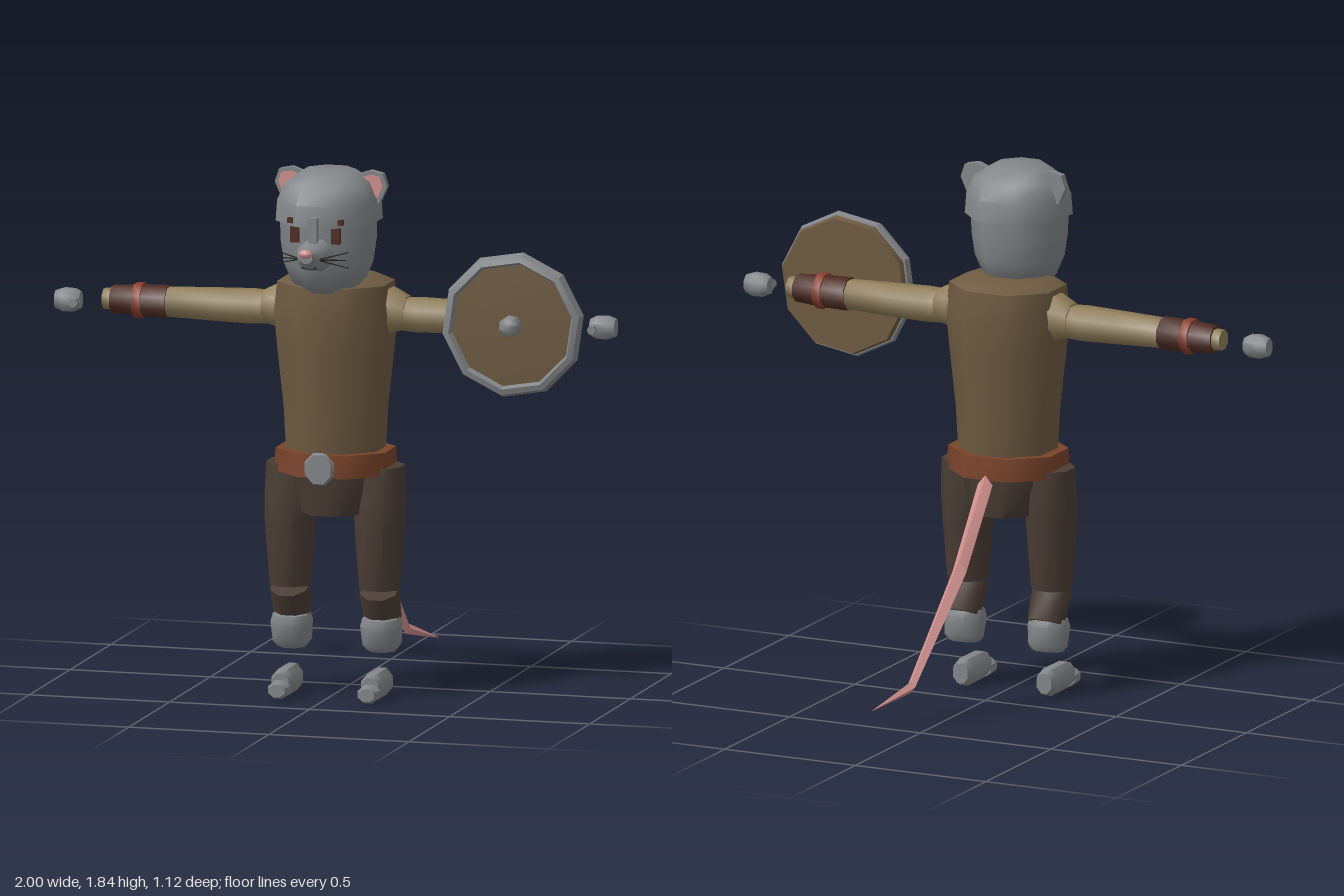
import * as THREE from 'three';
import { toCreasedNormals } from 'three/addons/utils/BufferGeometryUtils.js';

const paint = (name, color) => Object.assign(new THREE.MeshStandardMaterial({ color }), { name });

// Closed loft along y. Each ring is [y, radiusX, radiusZ, centreX, centreZ].
function loft(rings, n = 8, flat = true, crease = 0.85) {
  const pos = [], idx = [];
  const k = flat ? 1 / Math.cos(Math.PI / n) : 1;
  rings.forEach(([y, rx, rz = rx, cx = 0, cz = 0]) => {
    for (let j = 0; j < n; j++) {
      const a = ((j + (flat ? 0.5 : 0)) / n) * Math.PI * 2;
      pos.push(cx + rx * k * Math.sin(a), y, cz + rz * k * Math.cos(a));
    }
  });
  const m = rings.length;
  for (const [y, , , cx = 0, cz = 0] of [rings[0], rings[m - 1]]) pos.push(cx, y, cz);
  for (let j = 0; j < n; j++) {
    const q = (j + 1) % n, t = (m - 1) * n;
    for (let i = 0; i < m - 1; i++) {
      const a = i * n + j, b = i * n + q;
      idx.push(a, b, b + n, a, b + n, a + n);
    }
    idx.push(m * n, q, j, m * n + 1, t + j, t + q);
  }
  const g = new THREE.BufferGeometry();
  g.setAttribute('position', new THREE.Float32BufferAttribute(pos, 3));
  g.setIndex(idx);
  return toCreasedNormals(g, crease);
}

export function createModel() {
  const root = new THREE.Group();
  root.name = 'mouseWarrior';
  const grey = paint('greyFurAndSteel', 0x84878a);
  const tunic = paint('tunicBrown', 0x6e5b42);
  const tan = paint('sleeveTan', 0x8f7d59);
  const trousers = paint('trouserBrown', 0x4b3d35);
  const leather = paint('darkLeather', 0x4f2d24);
  const red = paint('redBand', 0x8a3c2a);
  const belt = paint('beltLeather', 0x7a432a);
  const pink = paint('pinkSkin', 0xd2928f);
  const dark = paint('whiskerBlack', 0x1c1818);

  const add = (name, geo, mat, x = 0, y = 0, z = 0, rx = 0) => {
    const mesh = new THREE.Mesh(geo, mat);
    mesh.name = name;
    mesh.position.set(x, y, z);
    mesh.rotation.x = rx;
    root.add(mesh);
    return mesh;
  };
  const forward = (rings, n, flat) => loft(rings, n, flat).rotateX(Math.PI / 2);
  const box = (w, h, d) => new THREE.BoxGeometry(w, h, d);

  // Body
  add('torso', loft([[0.84, 0.16, 0.148], [1.0, 0.168, 0.155], [1.2, 0.188, 0.172], [1.33, 0.2, 0.18],
    [1.44, 0.19, 0.172], [1.465, 0.13, 0.13]]), tunic, 0, 0, 0.175);
  add('belt', loft([[0.78, 0.198, 0.177], [0.86, 0.195, 0.172]]), belt, 0, 0, 0.177);
  add('buckle', forward([[0.365, 0.045, 0.05], [0.38, 0.052, 0.056], [0.395, 0.045, 0.05]]), grey, 0, 0.817, 0);
  add('pelvis', loft([[0.64, 0.115, 0.138], [0.79, 0.165, 0.152]]), trousers, 0, 0, 0.175);

  // Head with helmet
  add('head', loft([[1.42, 0.07, 0.08], [1.45, 0.115, 0.12], [1.52, 0.142, 0.147], [1.6, 0.153, 0.155],
    [1.69, 0.155, 0.16]]), grey, 0, 0, 0.265);
  add('helmet', loft([[1.667, 0.17, 0.18], [1.74, 0.165, 0.174], [1.8, 0.14, 0.148], [1.84, 0.085, 0.09]]),
    grey, 0, 0, 0.258);
  add('noseGuard', box(0.03, 0.11, 0.025), grey, 0, 1.65, 0.452);
  add('snout', forward([[0.38, 0.068, 0.058], [0.44, 0.06, 0.052, 0, 0.003], [0.5, 0.045, 0.04, 0, 0.003],
    [0.545, 0.022, 0.022, 0, -0.01]]), grey, 0, 1.573, 0);
  add('nose', new THREE.SphereGeometry(0.02, 8, 6).scale(1.2, 0.75, 0.8), pink, 0, 1.595, 0.55);
  add('mouth', box(0.05, 0.007, 0.05), dark, 0, 1.54, 0.487);

  // Tail
  add('tail', loft([[0, 0.028, 0.033, 0, 0.765], [0.2, 0.026, 0.045, 0, 0.5],
    [0.4, 0.015, 0.02, 0.085, 0.13], [0.555, 0.001, 0.001, 0.155, 0.075]], 4, false, 0.3)
    .rotateX(-Math.PI / 2), pink);

  for (const s of [1, -1]) {
    const side = s > 0 ? 'left' : 'right';

    // Face details
    add(side + 'Eye', box(0.03, 0.055, 0.02), leather, s * 0.073, 1.64, 0.425);
    add(side + 'HelmetRivet', box(0.018, 0.018, 0.02), leather, s * 0.09, 1.688, 0.425);
    for (const [y, x] of [[1.6, 0.14], [1.572, 0.13], [1.545, 0.14]]) {
      const from = new THREE.Vector3(s * 0.03, 1.57, 0.51), to = new THREE.Vector3(s * x, y, 0.5);
      const whisker = add(side + 'Whisker', new THREE.CylinderGeometry(0.0015, 0.0025, from.distanceTo(to), 4), dark);
      whisker.position.lerpVectors(from, to, 0.5);
      whisker.quaternion.setFromUnitVectors(new THREE.Vector3(0, 1, 0), to.sub(from).normalize());
    }

    // Ear with pink inner plate
    const outline = [[0.13, 1.72], [0.175, 1.73], [0.2, 1.785], [0.185, 1.83], [0.14, 1.84], [0.09, 1.822]];
    const earShape = (k) => new THREE.Shape(outline.map(([x, y]) =>
      new THREE.Vector2(s * (0.152 + (x - 0.152) * k), 1.79 + (y - 1.79) * k)));
    add(side + 'Ear', new THREE.ExtrudeGeometry(earShape(1), { depth: 0.028, bevelEnabled: false }), grey, 0, 0, 0.212);
    add(side + 'InnerEar', new THREE.ExtrudeGeometry(earShape(0.72), { depth: 0.006, bevelEnabled: false }), pink, 0, 0, 0.238);

    // Arm, running outward from the shoulder
    const arm = (name, rings, mat) =>
      add(side + name, loft(rings).rotateZ(-s * Math.PI / 2), mat, 0, 1.333, 0.165);
    const up = -s * 0.012;
    arm('Shoulder', [[0.15, 0.078, 0.07, up], [0.2, 0.076, 0.07, up], [0.255, 0.055, 0.06, up * 0.5]], tan);
    arm('Sleeve', [[0.2, 0.053, 0.055], [0.3, 0.058, 0.058], [0.42, 0.055, 0.055], [0.61, 0.049, 0.048]], tan);
    arm('Bracer', [[0.6, 0.054, 0.055], [0.7, 0.052, 0.052], [0.8, 0.045, 0.045]], leather);
    arm('BracerBand', [[0.688, 0.059, 0.059], [0.718, 0.058, 0.058]], red);
    arm('Cuff', [[0.79, 0.036, 0.037], [0.83, 0.034, 0.035]], tan);
    const hand = s * 0.009;
    arm('Hand', [[0.91, 0.028, 0.026, hand, 0.01], [0.93, 0.038, 0.036, hand, 0.01],
      [0.97, 0.04, 0.036, hand, 0.01], [1.0, 0.03, 0.026, hand, 0.01]], grey);
    add(side + 'Thumb', forward([[0.19, 0.017, 0.017], [0.225, 0.014, 0.014]], 6), grey, s * 0.925, 1.32, 0);

    // Leg
    add(side + 'Thigh', loft([[0.375, 0.066, 0.06, 0, 0.188], [0.6, 0.08, 0.09, 0, 0.188],
      [0.68, 0.083, 0.09, 0, 0.183], [0.805, 0.078, 0.086, 0, 0.178]]), trousers, s * 0.16);
    add(side + 'Shin', loft([[-0.06, 0.06, 0.055], [0.06, 0.064, 0.062]]), trousers, s * 0.16, 0.315, 0.17, 0.42);
    add(side + 'Ankle', loft([[-0.058, 0.05, 0.045], [-0.04, 0.063, 0.058], [0.03, 0.068, 0.068], [0.058, 0.06, 0.06]]),
      grey, s * 0.16, 0.217, 0.165, 0.12);
    add(side + 'Foot', forward([[0.13, 0.028, 0.035], [0.155, 0.037, 0.047], [0.28, 0.04, 0.046], [0.31, 0.03, 0.036]]),
      grey, s * 0.16, 0.048, 0);
    add(side + 'Toes', forward([[0.295, 0.035, 0.03], [0.335, 0.036, 0.03], [0.355, 0.028, 0.022]]),
      grey, s * 0.16, 0.031, 0);
  }

  // Shield: ten-sided board, steel rim and boss
  const shield = new THREE.Group();
  shield.name = 'shield';
  shield.position.set(0.663, 1.337, 0);
  shield.rotation.z = -0.145;
  const rim = [[0.222, 0.256], [0.25, 0.262], [0.256, 0.28], [0.245, 0.308], [0.225, 0.314], [0.215, 0.295], [0.222, 0.256]]
    .map(([r, y]) => new THREE.Vector2(r, y));
  shield.add(
    add('shieldBoard', forward([[0.24, 0.238], [0.258, 0.245], [0.295, 0.225], [0.302, 0.1]], 10, false), tunic),
    add('shieldRim', toCreasedNormals(new THREE.LatheGeometry(rim, 10).rotateX(Math.PI / 2), 0.3), grey),
    add('shieldBoss', forward([[0.295, 0.034], [0.335, 0.034], [0.353, 0.018]], 8), grey),
  );
  root.add(shield);
  return root;
}
